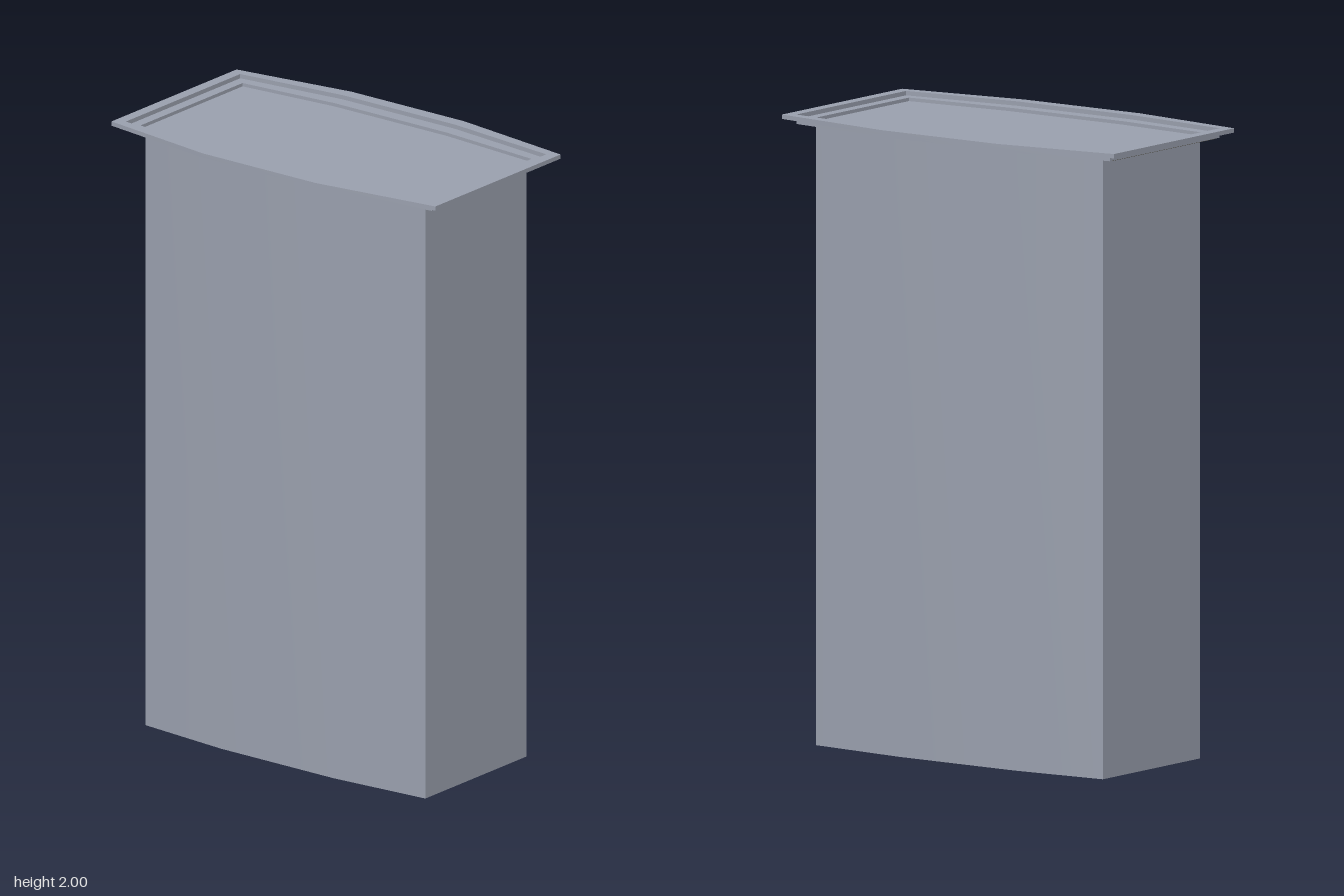
import * as THREE from 'three';
import { toCreasedNormals } from 'three/addons/utils/BufferGeometryUtils.js';

// Bowed outline: straight ends, long sides that bulge outward in the middle
function outline(halfWidth, cornerZ, midZ) {
  const left = -0.235, right = 0.215;
  return [
    [-halfWidth, -cornerZ], [left, -midZ], [right, -midZ], [halfWidth, -cornerZ],
    [halfWidth, cornerZ], [right, midZ], [left, midZ], [-halfWidth, cornerZ],
  ].map(([x, z]) => new THREE.Vector2(x, z));
}

// Vertical slab between two heights, optionally with an opening;
// a pair of materials colours the caps and the walls
function slab(name, material, outer, y0, y1, inner) {
  const shape = new THREE.Shape(outer);
  if (inner) shape.holes.push(new THREE.Path(inner));
  const extruded = new THREE.ExtrudeGeometry(shape, { depth: y1 - y0, bevelEnabled: false });
  extruded.rotateX(-Math.PI / 2).translate(0, y0, 0);
  const mesh = new THREE.Mesh(toCreasedNormals(extruded, 0.5), material);
  mesh.name = name;
  return mesh;
}

export function createModel() {
  const model = new THREE.Group();
  model.name = 'bowedContainer';
  const grey = new THREE.MeshStandardMaterial({ color: 0x9ba1af });
  grey.name = 'blue grey';
  const dark = new THREE.MeshStandardMaterial({ color: 0x565346 });
  dark.name = 'dark olive grey';

  const body = outline(0.56, 0.255, 0.283);
  const panel = outline(0.578, 0.257, 0.287);
  const step = outline(0.612, 0.288, 0.331);
  const rim = outline(0.648, 0.315, 0.374);

  model.add(
    // Grey walls with a dark underside
    slab('body', [dark, grey], body, 0, 1.971, null),
    // Stepped lid: sunken panel, middle step and outer rim
    slab('lidPanel', grey, panel, 1.97, 1.975, null),
    slab('lidStep', grey, step, 1.97, 1.986, panel),
    slab('lidRim', grey, rim, 1.986, 2, step),
  );

  // Dark strips under the lid at both short ends
  for (const side of [-1, 1]) {
    const strip = new THREE.Mesh(new THREE.BoxGeometry(0.05, 0.002, 0.54), dark);
    strip.name = 'lidUnderside';
    strip.position.set(side * 0.585, 1.9695, 0);
    model.add(strip);
  }
  return model;
}
